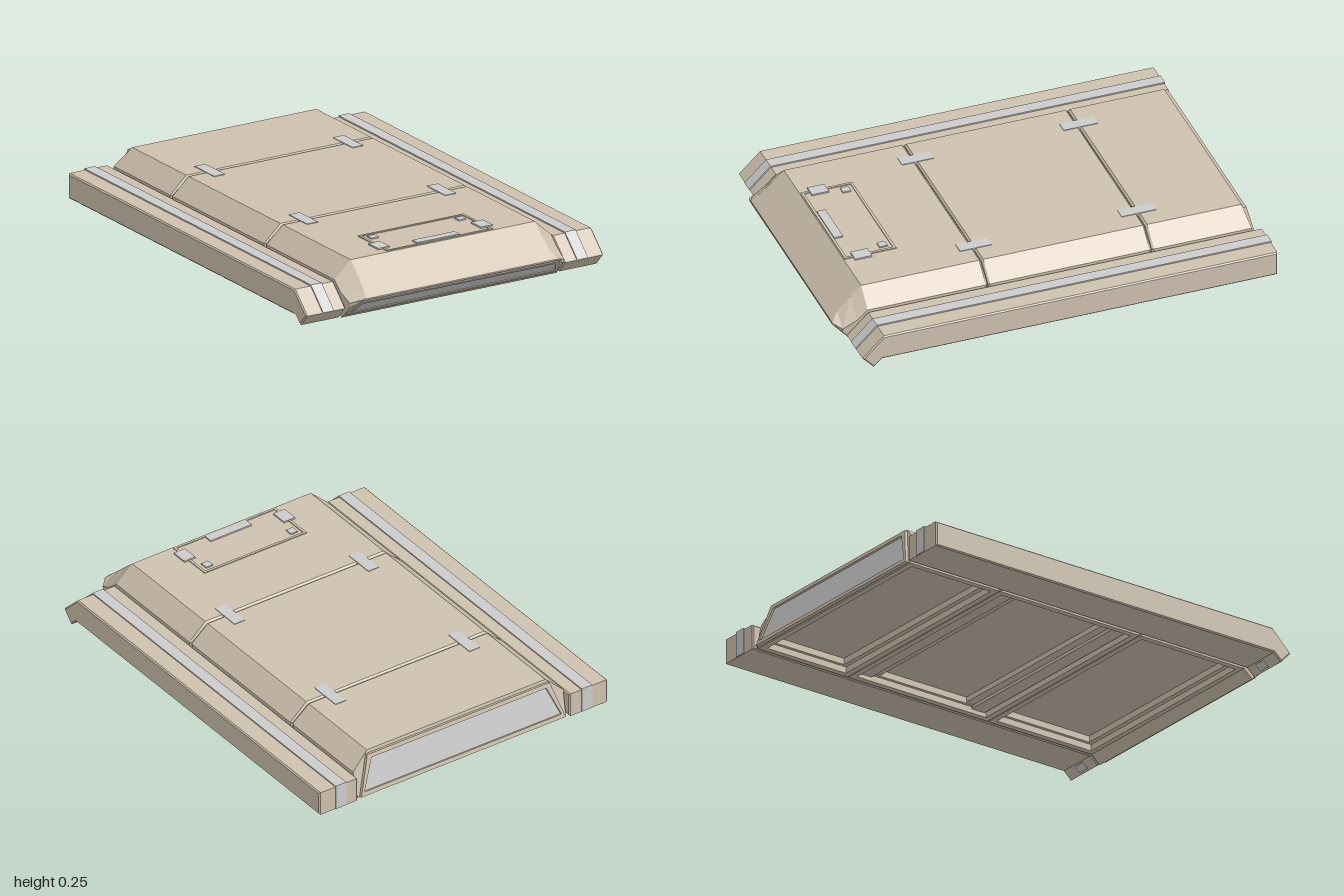
import * as THREE from 'three';

const tan = new THREE.MeshStandardMaterial({ color: 0xcdc0ad, flatShading: true, side: THREE.DoubleSide });
const grey = new THREE.MeshStandardMaterial({ color: 0xcccccc, flatShading: true });

function add(parent, name, geo, mat = tan) {
  const mesh = new THREE.Mesh(geo, mat);
  mesh.name = name;
  parent.add(mesh);
  return mesh;
}

function box(parent, name, x0, x1, y0, y1, z0, z1, mat = grey) {
  const mesh = add(parent, name, new THREE.BoxGeometry(x1 - x0, y1 - y0, z1 - z0), mat);
  mesh.position.set((x0 + x1) / 2, (y0 + y1) / 2, (z0 + z1) / 2);
  return mesh;
}

// Mirrored cross-section: half is a list of [x, y, z] from the bottom edge up to the roof edge
const mirror = half => [...half, ...half.map(([x, y, z]) => [-x, y, z]).reverse()];
const section = (z, inset = 0, roofZ = z) => mirror([
  [0.56 - inset, 0.04, z], [0.565 - inset, 0.163, z + (roofZ - z) * 0.63], [0.48 - inset, 0.24 - inset, roofZ]]);

// Skin over rings given in order of rising z, with both ends capped
function loft(rings, closed) {
  const pos = [], n = rings[0].length;
  const tri = (...p) => p.forEach(v => pos.push(...v));
  for (let i = 0; i < rings.length - 1; i++)
    for (let j = 0; j < (closed ? n : n - 1); j++) {
      const k = (j + 1) % n, [r, s] = [rings[i], rings[i + 1]];
      tri(r[j], r[k], s[j]);
      tri(r[k], s[k], s[j]);
    }
  const first = rings[0], last = rings[rings.length - 1];
  for (let j = 1; j < n - 1; j++) {
    tri(first[0], first[j + 1], first[j]);
    tri(last[0], last[j], last[j + 1]);
  }
  const geo = new THREE.BufferGeometry();
  geo.setAttribute('position', new THREE.Float32BufferAttribute(pos, 3));
  geo.computeVertexNormals();
  return geo;
}

const polygon = pts => pts.map(p => new THREE.Vector2(...p));

// Side profile in (z, y), extruded across x with a small chamfer
function sideProfile(points, halfWidth, bevel) {
  const geo = new THREE.ExtrudeGeometry(new THREE.Shape(polygon(points)), {
    depth: 2 * (halfWidth - bevel), bevelEnabled: bevel > 0, bevelSize: bevel,
    bevelThickness: bevel, bevelOffset: -bevel, bevelSegments: 1 });
  return geo.rotateY(-Math.PI / 2).translate(halfWidth - bevel, 0, 0);
}

// Flat horizontal rectangular ring
function flatFrame(w, z0, z1, border, y, h) {
  const shape = new THREE.Shape(polygon([[-w, z0], [w, z0], [w, z1], [-w, z1]]));
  const a = w - border, b = z0 + border, c = z1 - border;
  shape.holes.push(new THREE.Path(polygon([[-a, b], [-a, c], [a, c], [a, b]])));
  return new THREE.ExtrudeGeometry(shape, { depth: h, bevelEnabled: false })
    .rotateX(Math.PI / 2).translate(0, y + h, 0);
}

// Trapezoid window: raised frame around a grey pane
function framedWindow(name, wBottom, wTop, height, border, depth, dir) {
  const group = new THREE.Group();
  group.name = name;
  const corners = m => polygon([[-wBottom + m, m], [wBottom - m, m], [wTop - m, height - m], [-wTop + m, height - m]]);
  const rim = new THREE.Shape(corners(0));
  rim.holes.push(new THREE.Path(corners(border).reverse()));
  const extrude = (s, d) => new THREE.ExtrudeGeometry(s, { depth: d, bevelEnabled: false })
    .translate(0, 0, dir < 0 ? -d : 0);
  add(group, name + 'Frame', extrude(rim, depth));
  add(group, name + 'Pane', extrude(new THREE.Shape(corners(border)), depth * 0.4), grey);
  return group;
}

export function createModel() {
  const model = new THREE.Group();
  model.name = 'armouredRoofPanel';

  // Three hollow roof segments, softened at the seams
  add(model, 'rearShell', loft([section(-0.982, 0, -0.938), section(-0.93), section(-0.495), section(-0.486, 0.008)]));
  add(model, 'middleShell', loft([section(-0.483, 0.008), section(-0.475), section(0.275), section(0.283, 0.008)]));
  add(model, 'frontShell', loft([section(0.286, 0.008), section(0.295), section(0.85)]));

  // Wedge-shaped nose
  const noseRing = (z, by, sw, sy, tw, ty) => mirror([[sw - 0.005, by, z], [sw, sy, z], [tw, ty, z]]);
  add(model, 'nose', loft([
    noseRing(0.85, 0.045, 0.565, 0.163, 0.48, 0.24),
    noseRing(0.9, 0, 0.565, 0.12, 0.48, 0.195),
    noseRing(0.965, 0.065, 0.558, 0.085, 0.485, 0.135),
    noseRing(1, 0.098, 0.52, 0.1, 0.495, 0.104),
  ], true));

  // Underside: a rim around a shallow recessed panel in each segment
  const bays = [['rear', -0.975, -0.487], ['middle', -0.482, 0.282], ['front', 0.287, 0.86]];
  for (const [name, z0, z1] of bays) {
    add(model, name + 'LowerFrame', flatFrame(0.558, z0, z1, 0.028, 0.04, 0.03));
    add(model, name + 'InnerFrame', flatFrame(0.555, z0 + 0.01, z1 - 0.01, 0.04, 0.07, 0.03));
    box(model, name + 'Panel', -0.54, 0.54, 0.1, 0.11, z0 + 0.02, z1 - 0.02, tan);
  }
  // Stepped cross beams at both ends of the middle recess
  for (const s of [-1, 1])
    for (const [reach, y] of [[0.27, 0.075], [0.31, 0.06]])
      box(model, 'crossBeam', -0.535, 0.535, y, 0.1, -0.1 + s * reach - 0.035, -0.1 + s * reach + 0.035, tan);

  // Windows in the rear face and under the nose
  const rear = framedWindow('rearWindow', 0.55, 0.49, 0.187, 0.02, 0.015, -1);
  rear.position.set(0, 0.043, -0.982);
  rear.rotation.x = 0.217;
  model.add(rear);
  const front = framedWindow('noseWindow', 0.55, 0.515, 0.105, 0.016, 0.006, 1);
  front.position.set(0, 0.02, 0.92);
  front.rotation.x = Math.PI / 4;
  model.add(front);

  // Side rails, each with a strap running over the top and down the nose
  for (const s of [-1, 1]) {
    const rail = new THREE.Group();
    rail.name = s > 0 ? 'leftRail' : 'rightRail';
    const body = sideProfile([[-0.996, 0.04], [0.86, 0.04], [0.9, 0.004], [0.952, 0.06], [0.852, 0.157], [-0.996, 0.157]],
      0.103, 0.006);
    const strap = sideProfile([[-1, 0.042], [0.86, 0.042], [0.94, 0.062], [0.956, 0.064], [0.855, 0.163], [-1, 0.163]],
      0.028, 0);
    add(rail, 'railBody', body);
    add(rail, 'railStrap', strap, grey).position.x = -0.01 * s;
    const pad = box(rail, 'lipPad', -0.028, 0.028, -0.004, 0.004, -0.018, 0.018);
    pad.position.set(-0.01 * s, 0.022, 0.878);
    pad.rotation.x = 0.73;
    rail.position.x = s * 0.672;
    model.add(rail);

    // Clips bridging the seams between segments
    for (const [z0, z1] of [[-0.57, -0.41], [0.2, 0.35]])
      box(model, 'seamClip', s * 0.36 - 0.028, s * 0.36 + 0.028, 0.225, 0.243, z0, z1);
  }

  // Hatch on the front segment, almost flush with the roof
  const hatch = new THREE.Group();
  hatch.name = 'hatch';
  add(hatch, 'hatchRim', flatFrame(0.275, 0.603, 0.845, 0.012, 0.235, 0.009));
  for (const s of [-1, 1]) {
    box(hatch, 'hatchBolt', s * 0.228 - 0.018, s * 0.228 + 0.018, 0.235, 0.246, 0.632, 0.67);
    box(hatch, 'hatchLatch', s * 0.268 - 0.03, s * 0.268 + 0.03, 0.235, 0.247, 0.725, 0.805);
  }
  box(hatch, 'hatchHandle', -0.11, 0.11, 0.235, 0.247, 0.79, 0.832);
  hatch.position.x = -0.01;
  model.add(hatch);

  return model;
}
